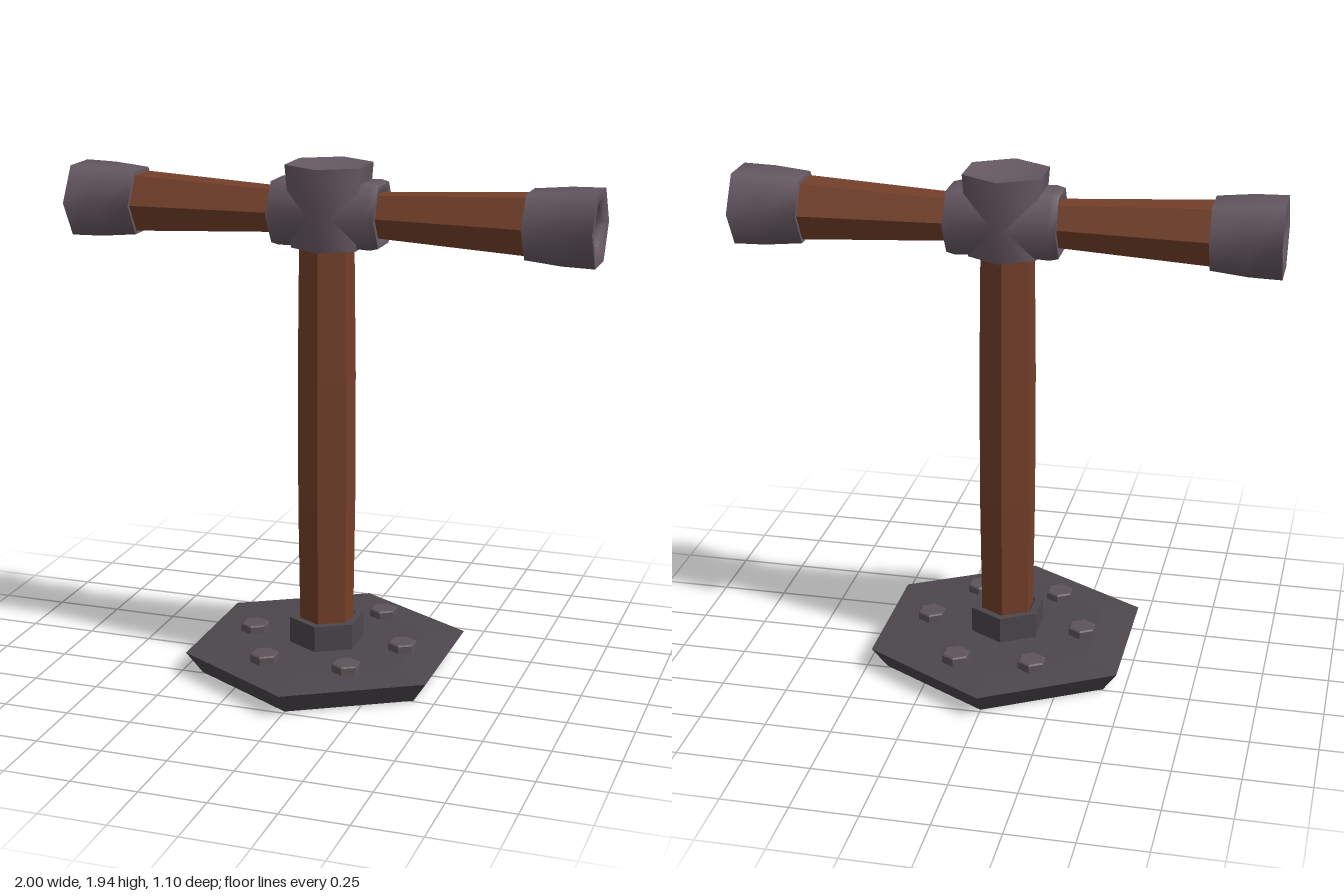
import * as THREE from 'three';
import { toCreasedNormals } from 'three/addons/utils/BufferGeometryUtils.js';

const mat = (color, flatShading) => new THREE.MeshStandardMaterial({ color, flatShading });
const wood = mat(0x74402a, true);
const steel = mat(0x4c474c, true);
const boltSteel = mat(0x5c5459, true);
const iron = mat(0x665962, false);

// Six-sided turned form: points are [radius, height], corners point along +z and -z
function hex(points, smooth = false) {
  const g = new THREE.LatheGeometry(points.map(([r, y]) => new THREE.Vector2(r, y)), 6);
  return smooth ? toCreasedNormals(g, 1.1) : g;
}

export function createModel() {
  const model = new THREE.Group();
  const add = (name, geometry, material, x = 0, y = 0, z = 0, parent = model) => {
    const m = new THREE.Mesh(geometry, material);
    m.name = name;
    m.position.set(x, y, z);
    parent.add(m);
    return m;
  };

  // Base plate, flared upward, with a slightly raised top
  add('basePlate', hex([[0, 0], [0.485, 0], [0.548, 0.085], [0.4, 0.098], [0, 0.1]]), steel);

  // Socket holding the post
  add('postSocket', hex([[0.145, 0.08], [0.145, 0.2], [0.115, 0.2], [0.1, 0.175]]), steel);

  // Ring of bolts
  const boltGeo = hex([[0.055, 0], [0.055, 0.035], [0.049, 0.04], [0, 0.04]]);
  [[-0.155, -0.295], [0.135, -0.305], [-0.155, 0.275], [0.165, 0.27], [-0.295, 0], [0.305, 0.005]]
    .forEach(([x, z]) => add('bolt', boltGeo, boltSteel, x, 0.09, z));

  // Slightly bowed wooden post
  add('post', hex([[0, 0.1], [0.103, 0.1], [0.11, 0.65], [0.11, 1.15], [0.103, 1.68], [0, 1.68]]), wood);

  // Iron head with a dished top
  add('head', hex([[0, 1.635], [0.143, 1.635], [0.152, 1.78], [0.165, 1.94], [0.13, 1.935], [0, 1.905]], true),
    iron, 0, 0, -0.027);

  // Cross handle: both arms are turned along y, then laid along x
  const sleeveGeo = hex([[0.13, 0], [0.138, 0.175], [0.13, 0.205], [0.108, 0.205], [0.085, 0.18]], true);
  const gripGeo = hex([[0.086, 0.1], [0.09, 0.2], [0.12, 0.745], [0.12, 0.95], [0, 0.95]]);
  const capGeo = hex([[0.115, 0.745], [0.135, 0.745], [0.149, 0.88], [0.152, 1.0], [0.125, 1.0],
    [0.088, 0.985], [0.085, 0.94]], true);
  for (const side of [1, -1]) {
    const arm = new THREE.Group();
    arm.name = side > 0 ? 'leftArm' : 'rightArm';
    arm.position.set(0, 1.76, -0.034);
    arm.rotation.z = -side * Math.PI / 2;
    add('sleeve', sleeveGeo, iron, 0, 0, 0, arm);
    add('grip', gripGeo, wood, 0, 0, 0, arm);
    add('endCap', capGeo, iron, 0, 0, 0, arm);
    model.add(arm);
  }
  return model;
}
